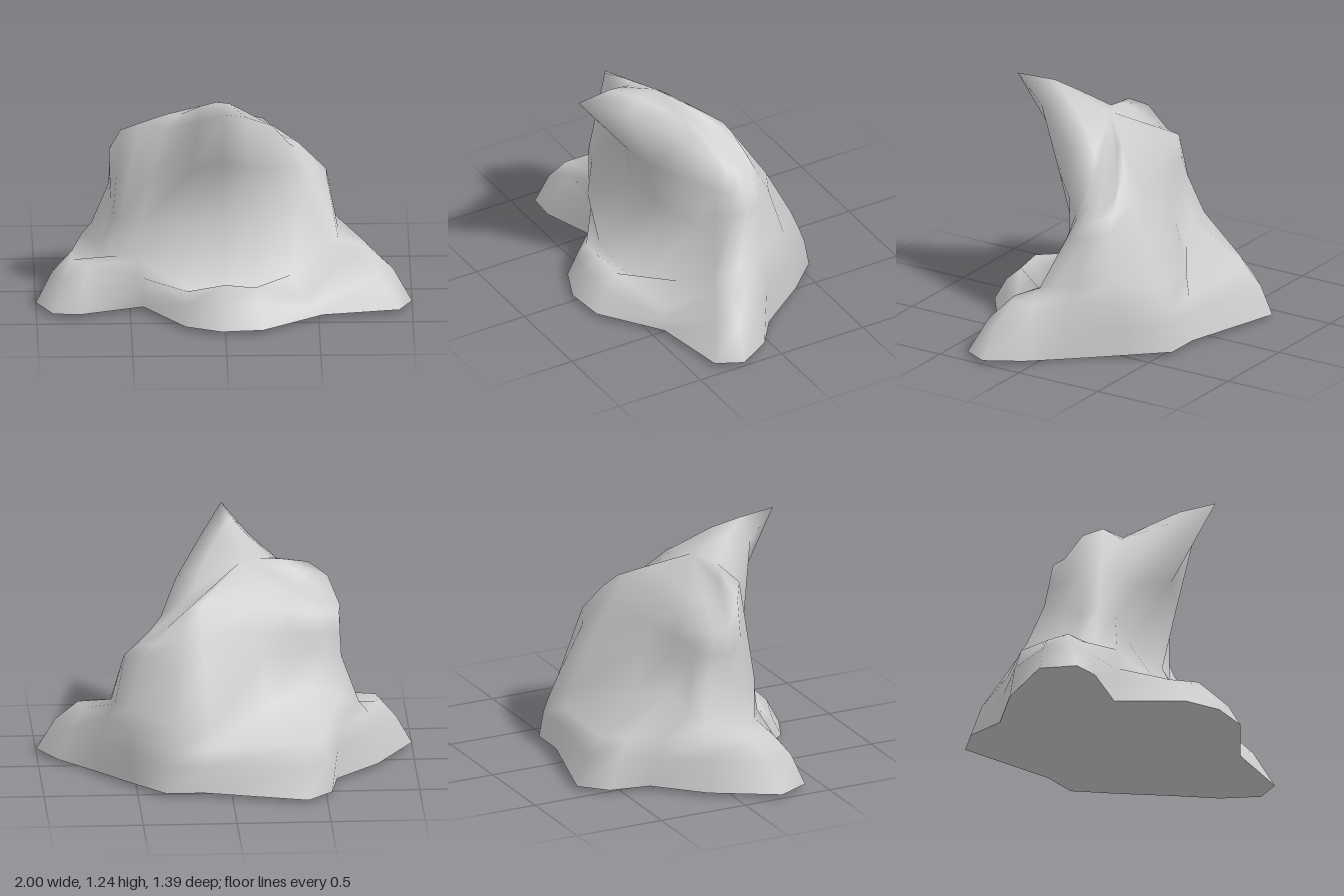
import * as THREE from 'three';

// Cross-sections, each running from the left (+x) round the front, right side and back.
// Ground outline as x, z
const ground = [
  1, .23, .93, .37, .52, .44, .2, .67, -.02, .69, -.21, .61, -.43, .3, -.76, .41, -.91, .4, -1, .22,
  -.8, -.12, -.57, -.35, -.53, -.57, -.4, -.7, .15, -.55, .35, -.55, .52, -.37, .7, -.1, .89, .04];
// Upper edge of the spreading feet as x, y, z
const feet = [
  .78, .3, .18, .69, .29, .23, .43, .09, .39, .16, .21, .53, 0, .23, .54, -.2, .18, .5, -.46, .2, .32,
  -.73, .26, .3, -.81, .28, .27, -.81, .28, .14, -.75, .3, -.08, -.58, .27, -.29, -.49, .27, -.44,
  -.38, .27, -.55, .12, .25, -.51, .33, .25, -.5, .53, .28, -.33, .64, .31, -.1, .75, .3, .07];
// Foot of the steep wall, set well back at the right rear
const wall = [
  .61, .33, .12, .55, .31, .15, .36, .18, .25, .19, .13, .38, 0, .15, .43, -.2, .16, .42, -.46, .3, .34,
  -.57, .3, .27, -.64, .26, .2, -.66, .3, .1, -.7, .36, -.08, -.6, .42, -.14, -.42, .46, -.17,
  -.22, .42, -.27, .1, .36, -.48, .31, .36, -.46, .54, .42, -.28, .6, .38, -.11, .61, .36, .03];
// Hollowed middle of the wall
const middle = [
  .5, .6, .02, .42, .57, .07, .32, .48, .12, .17, .47, .18, 0, .47, .19, -.2, .47, .23, -.45, .5, .32,
  -.55, .52, .28, -.59, .5, .2, -.6, .56, .1, -.61, .6, -.03, -.53, .64, -.08, -.38, .65, -.12,
  -.18, .65, -.2, .14, .64, -.33, .29, .64, -.32, .47, .66, -.23, .55, .64, -.13, .55, .63, -.05];
// Rim, drawn out at the front into the overhanging point
const rim = [
  .38, .8, -.03, .35, .83, 0, .26, .99, .16, .11, 1.14, .43, -.01, 1.24, .66, -.14, 1.13, .46,
  -.32, 1.02, .27, -.45, 1.04, .24, -.55, .98, .18, -.61, .84, .1, -.6, .83, .02, -.48, .84, -.04,
  -.34, .87, -.07, -.14, .9, -.1, .14, .94, -.14, .21, .92, -.15, .33, .82, -.18, .4, .79, -.13, .41, .78, -.08];

const toRing = (a) => Array.from({ length: a.length / 3 }, (_, i) => new THREE.Vector3().fromArray(a, i * 3));
const blend = (a, b, t) => a.map((p, i) => p.clone().lerp(b[i], t));

function makeGeometry(points, index) {
  const geometry = new THREE.BufferGeometry().setFromPoints(points);
  geometry.setIndex(index);
  geometry.computeVertexNormals();
  return geometry;
}

// Skin a stack of equal rings and close the top
function loft(rings, top) {
  const n = rings[0].length, t = n * rings.length;
  const index = [];
  for (let i = 0; i < n; i++) {
    const j = (i + 1) % n;
    for (let r = 0; r < rings.length - 1; r++) {
      const lo = r * n, hi = lo + n;
      index.push(lo + i, hi + i, lo + j, lo + j, hi + i, hi + j);
    }
    index.push(t - n + i, t, t - n + j);
  }
  return makeGeometry([...rings.flat(), top], index);
}

// Close a ring from below
function floor(ring) {
  const n = ring.length;
  return makeGeometry([...ring, new THREE.Vector3(0, .02, 0)], ring.flatMap((_, i) => [n, i, (i + 1) % n]));
}

export function createModel() {
  const groundRing = Array.from({ length: ground.length / 2 }, (_, i) =>
    new THREE.Vector3(ground[i * 2], i === 17 ? 0 : .02, ground[i * 2 + 1]));
  const feetRing = toRing(feet), wallRing = toRing(wall), middleRing = toRing(middle), rimRing = toRing(rim);
  const apex = new THREE.Vector3(-.1, 1.1, .13);

  // Rounded shoulders of the feet
  const shoulder = blend(groundRing, feetRing, .45);
  shoulder.forEach((p, i) => { p.y = THREE.MathUtils.lerp(groundRing[i].y, feetRing[i].y, .62); });

  // Curved underside of the overhang
  const throat = blend(middleRing, rimRing, .5);
  throat.forEach((p) => { if (p.z > .3) p.z = .3 + (p.z - .3) * .5; });

  // Crown inside the rim, domed towards the overhanging point
  const crown = rimRing.map((p) => p.clone().lerp(apex, .4));
  const { clamp } = THREE.MathUtils;
  crown.forEach((p) => { p.y += .05 * clamp((p.x + .35) / .2, 0, 1) * clamp((p.z + .05) / .3, 0, 1); });

  const material = new THREE.MeshStandardMaterial({ color: 0xcccccc });
  const rock = new THREE.Mesh(
    loft([groundRing, shoulder, feetRing, wallRing, middleRing, throat, rimRing, crown], apex), material);
  rock.name = 'overhangingRock';
  const underside = new THREE.Mesh(floor(groundRing), material);
  underside.name = 'underside';

  const model = new THREE.Group();
  model.name = 'rockFormation';
  model.add(rock, underside);
  return model;
}
